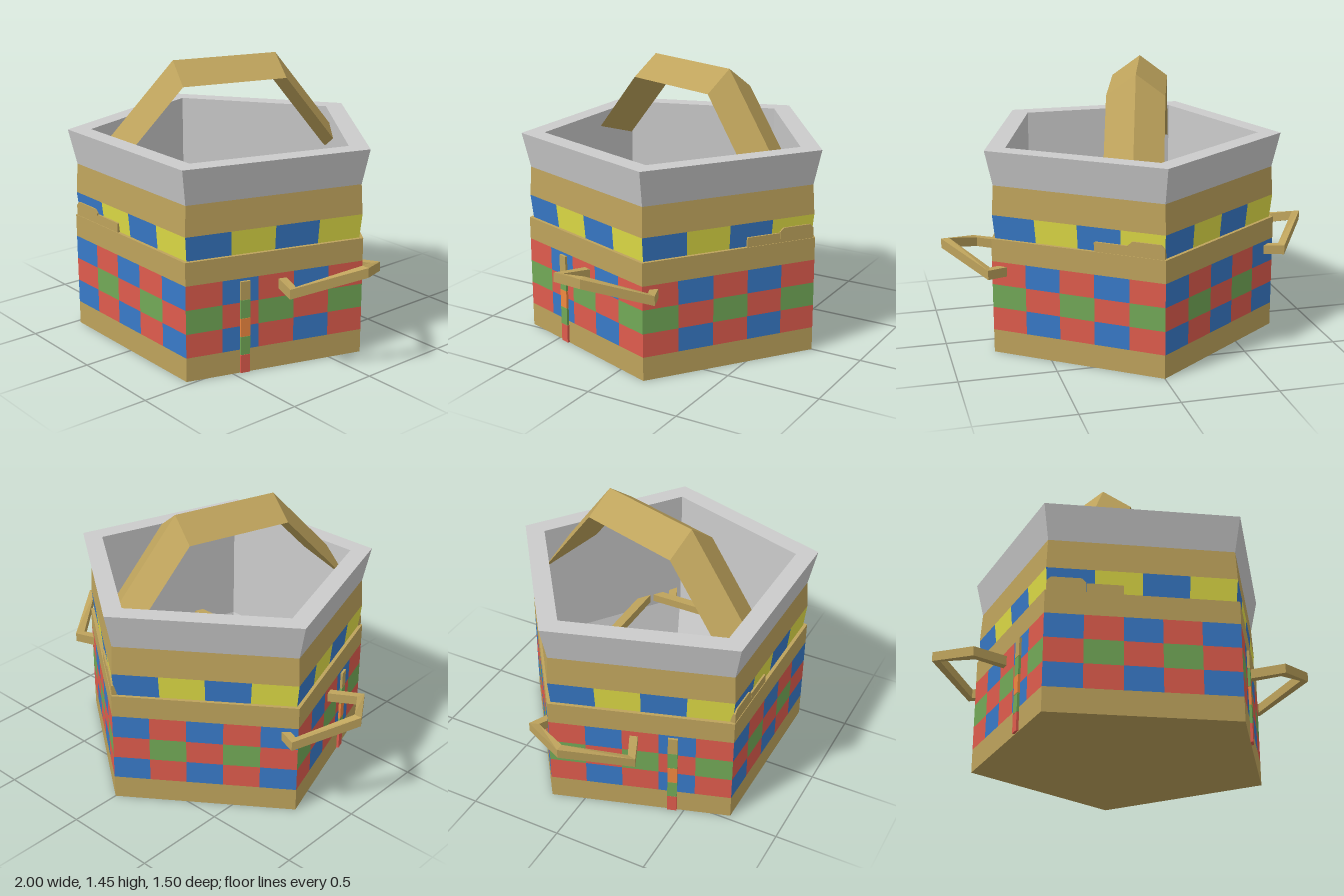
import * as THREE from 'three';
import { mergeVertices } from 'three/addons/utils/BufferGeometryUtils.js';

const TAN = 0xbea35c, GREY = 0xcccccc, BLUE = 0x387ac8, RED = 0xdf5c4d;
const GREEN = 0x72a957, YELLOW = 0xe1de47, ORANGE = 0xf0883f;
const CZ = 0.08, STEP = Math.PI * 2 / 5;

const material = color => new THREE.MeshStandardMaterial({ color, flatShading: true });

// Triangles from a flat list of corner points, three per face.
function meshFrom(points, color, name) {
  const geo = new THREE.BufferGeometry();
  geo.setAttribute('position', new THREE.Float32BufferAttribute(points.flatMap(p => [p.x, p.y, p.z]), 3));
  geo.computeVertexNormals();
  const mesh = new THREE.Mesh(mergeVertices(geo), material(color));
  mesh.name = name;
  return mesh;
}

// Corner k of the pentagon; corner 0 is front at -x, counting towards +x.
const corner = (k, r, y) => {
  const a = (k - 0.5) * STEP;
  return new THREE.Vector3(r * Math.sin(a), y, CZ + r * Math.cos(a));
};

// One cell of a pentagon side, between fractions u0 and u1, from ring (r0,y0) to ring (r1,y1).
function cell(f, u0, u1, [r0, y0], [r1, y1]) {
  const at = (u, r, y) => corner(f, r, y).lerp(corner(f + 1, r, y), u);
  const a = at(u0, r0, y0), b = at(u1, r0, y0), c = at(u1, r1, y1), d = at(u0, r1, y1);
  if (r0 === 0) return [a, c, d];
  if (r1 === 0) return [a, b, c];
  return [a, b, c, a, c, d];
}

// Run of pentagonal bands through a profile of [radius, height].
function shell(profile, color, name) {
  const pts = [];
  for (let i = 0; i < profile.length - 1; i++)
    for (let f = 0; f < 5; f++) pts.push(...cell(f, 0, 1, profile[i], profile[i + 1]));
  return meshFrom(pts, color, name);
}

// Checked band: colorOf(face, column) picks each cell's colour.
function checks(lower, upper, columns, colorOf, name) {
  const group = new THREE.Group(), byColor = new Map();
  group.name = name;
  for (let f = 0; f < 5; f++) for (let c = 0; c < columns; c++) {
    const color = colorOf(f, c);
    if (!byColor.has(color)) byColor.set(color, []);
    byColor.get(color).push(...cell(f, c / columns, (c + 1) / columns, lower, upper));
  }
  for (const [color, pts] of byColor) group.add(meshFrom(pts, color, name + 'Cells'));
  return group;
}

// Closed solid through rings of points that run counter-clockwise about the direction of travel.
function loft(rings, color, name) {
  const pts = [], n = rings[0].length, last = rings[rings.length - 1];
  for (let i = 0; i < rings.length - 1; i++) for (let j = 0; j < n; j++) {
    const k = (j + 1) % n, p = rings[i], q = rings[i + 1];
    pts.push(p[j], p[k], q[k], p[j], q[k], q[j]);
  }
  for (let j = 1; j < n - 1; j++)
    pts.push(rings[0][0], rings[0][j + 1], rings[0][j], last[0], last[j], last[j + 1]);
  return meshFrom(pts, color, name);
}

function box(w, h, d, x, y, z, color, name) {
  const mesh = new THREE.Mesh(new THREE.BoxGeometry(w, h, d), material(color));
  mesh.position.set(x, y, z);
  mesh.name = name;
  return mesh;
}

// Group lying on side f: local +z points outward, local x runs along the side.
function sideGroup(f, name) {
  const group = new THREE.Group();
  group.position.z = CZ;
  group.rotation.y = f * STEP;
  group.name = name;
  return group;
}

// Arched carrying handle with a flat triangular section, set at a slant.
function topHandle() {
  const offsets = [[0, 0, 0], [0.143, -0.11, 0.045], [-0.143, -0.11, -0.045]];
  const bend = (x, z) => offsets.map(([ox, oy, oz]) => new THREE.Vector3(x + ox, 1.445 + oy, z + oz));
  // Each edge runs down from its bend to its own end depth.
  const foot = (ring, ends, slope) => ring.map((p, i) => {
    const dz = ends[i] - p.z;
    return new THREE.Vector3(p.x - 0.312 * dz, p.y - Math.abs(dz) * slope, ends[i]);
  });
  const front = bend(-0.15, 0.318), back = bend(0.02, -0.23);
  return loft([
    foot(front, [0.67, 0.67, 0.67], 1.125), front,
    back, foot(back, [-0.56, -0.46, -0.65], 1.33),
  ], TAN, 'topHandle');
}

// Bent grip on one side: each stop is outer x, outer z, inner x, inner z, height.
function sideHandle(s) {
  const stops = [
    [0.55, -0.155, 0.565, -0.11, 0.445], [0.8, -0.262, 0.783, -0.213, 0.457],
    [1, 0.03, 0.957, 0.03, 0.553],
    [0.79, 0.345, 0.778, 0.297, 0.457], [0.6, 0.26, 0.62, 0.222, 0.445],
  ];
  const rings = stops.map(([ox, oz, ix, iz, y]) => {
    const p = [[ox, y - 0.025, oz], [ox, y + 0.025, oz], [ix, y + 0.025, iz], [ix, y - 0.025, iz]]
      .map(([x, py, z]) => new THREE.Vector3(s * x, py, z));
    return s < 0 ? p.reverse() : p;
  });
  return loft(rings, TAN, s > 0 ? 'leftHandle' : 'rightHandle');
}

// Small upright tab with clipped top corners.
function tab(x, w, h, bevel) {
  const outline = [
    [-w / 2, 0], [w / 2, 0], [w / 2, h - bevel], [w / 2 - bevel, h], [bevel - w / 2, h], [-w / 2, h - bevel],
  ].map(([px, py]) => new THREE.Vector2(px, py));
  const geo = new THREE.ExtrudeGeometry(new THREE.Shape(outline), { depth: 0.025, bevelEnabled: false });
  const mesh = new THREE.Mesh(geo, material(TAN));
  mesh.position.set(x, 0.615, 0.623);
  mesh.name = 'tab';
  return mesh;
}

export function createModel() {
  const model = new THREE.Group();
  model.name = 'basket';

  // Lower body: plain bands around three checked rows
  model.add(shell([[0, 0], [0.805, 0], [0.805, 0.125]], TAN, 'baseBand'));
  const startsRed = [0, 1, 1, 0, 1];
  for (let row = 0; row < 3; row++) {
    const y = 0.125 * (row + 1);
    model.add(checks([0.805, y], [0.805, y + 0.125], 5, (f, c) => {
      const odd = (c + startsRed[f]) % 2;
      return row === 1 ? (odd ? GREEN : RED) : (odd ? RED : BLUE);
    }, 'bodyChecks'));
  }
  model.add(shell([[0.805, 0.5], [0.805, 0.62], [0.783, 0.62]], TAN, 'middleBand'));

  // Upper body and flared rim
  model.add(checks([0.783, 0.62], [0.797, 0.745], 4, (f, c) => (c % 2 ? YELLOW : BLUE), 'upperChecks'));
  model.add(shell([[0.797, 0.745], [0.787, 0.9]], TAN, 'upperBand'));
  model.add(shell([[0.787, 0.9], [0.83, 1.085], [0.71, 1.085]], GREY, 'rim'));

  // Inside walls and floor
  model.add(shell([[0.71, 1.085], [0.71, 0.4], [0.587, 0.06], [0, 0.06]], GREY, 'lining'));

  // Bars crossing the inside
  model.add(box(1.06, 0.05, 0.05, 0, 0.45, -0.28, TAN, 'backBar'));
  model.add(box(1.06, 0.05, 0.05, 0, 0.45, 0.43, TAN, 'frontBar'));

  for (const s of [-1, 1]) {
    model.add(box(0.05, 0.044, 0.58, s * 0.555, 0.45, 0.03, TAN, 'sideBar'));
    model.add(sideHandle(s));

    // Upright strip of coloured pieces
    const strip = sideGroup(s > 0 ? 1 : 4, 'colouredStrip');
    [RED, GREEN, ORANGE, GREEN, TAN].forEach((color, i) =>
      strip.add(box(0.05, 0.096, 0.02, -s * 0.168, 0.051 + i * 0.097, 0.654, color, 'stripPiece')));
    model.add(strip);
  }

  // Pairs of small tabs standing on the ledge
  for (const [f, s] of [[0, -1], [2, 1]]) {
    const tabs = sideGroup(f, 'ledgeTabs');
    tabs.add(tab(s * 0.37, 0.19, 0.08, 0.02), tab(s * 0.183, 0.18, 0.055, 0.004));
    model.add(tabs);
  }

  model.add(topHandle());
  return model;
}
